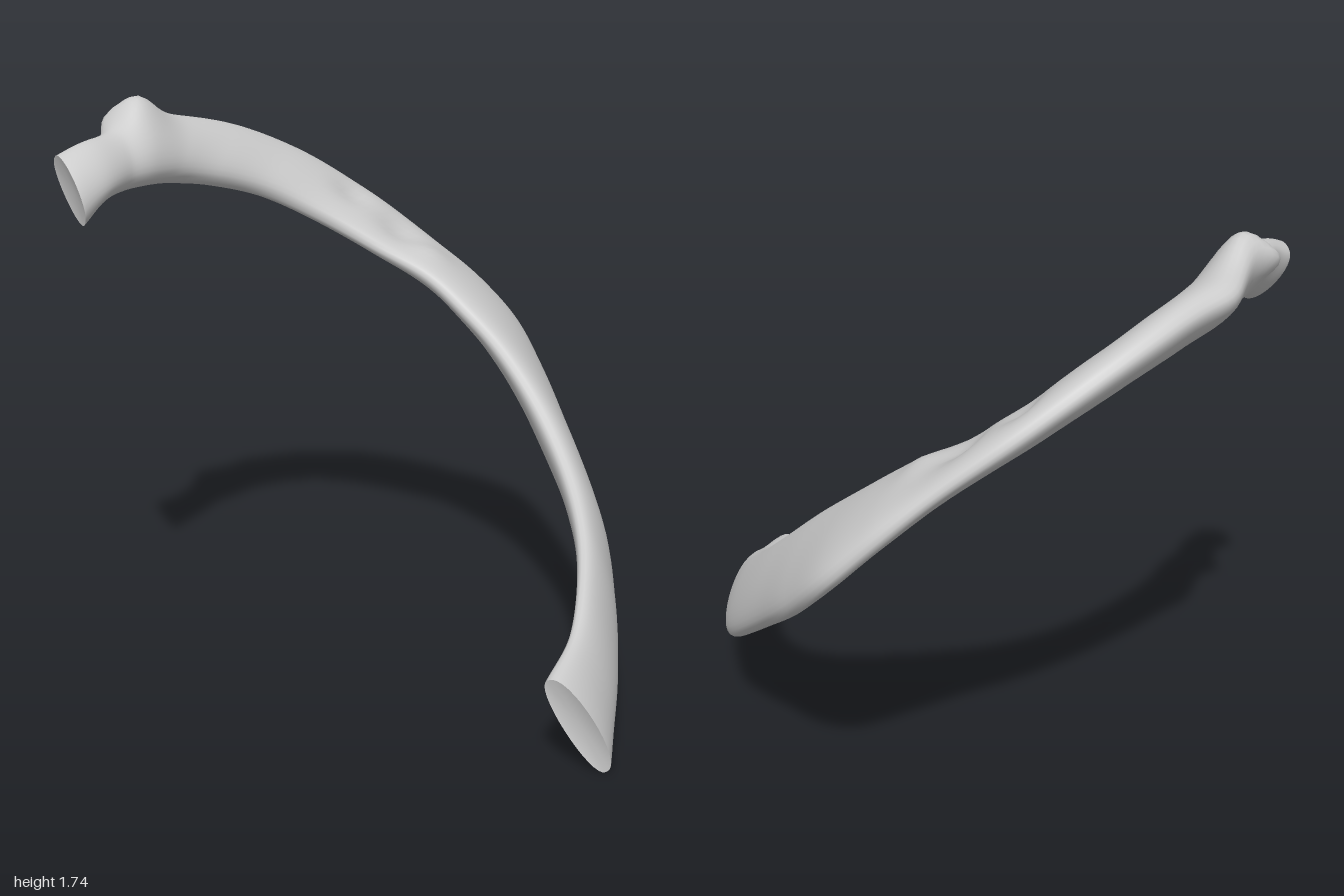
import * as THREE from 'three';
import { mergeGeometries } from 'three/addons/utils/BufferGeometryUtils.js';

// Cross-sections from the sternal end to the head:
// inner (upper) edge x y z, outer (lower) edge x y z, thickness
const sections = [
  [-0.34, 0.28, 0.85, -0.24, 0.01, 0.99, 0.1],
  [-0.15, 0.33, 0.77, -0.1, 0.05, 0.88, 0.085],
  [0, 0.4, 0.67, 0.05, 0.11, 0.76, 0.085],
  [0.18, 0.5, 0.51, 0.22, 0.2, 0.6, 0.09],
  [0.31, 0.62, 0.33, 0.4, 0.33, 0.4, 0.1],
  [0.39, 0.77, 0.13, 0.57, 0.54, 0.1, 0.11],
  [0.41, 0.92, -0.06, 0.7, 0.71, -0.13, 0.115],
  [0.395, 1.02, -0.2, 0.76, 0.87, -0.31, 0.115],
  [0.36, 1.12, -0.34, 0.72, 1.0, -0.43, 0.11],
  [0.27, 1.21, -0.5, 0.61, 1.16, -0.57, 0.1],
  [0.15, 1.31, -0.64, 0.45, 1.34, -0.75, 0.11],
  [0, 1.4, -0.74, 0.25, 1.49, -0.88, 0.12],
  [-0.18, 1.455, -0.785, 0.03, 1.59, -0.95, 0.13],
  [-0.32, 1.48, -0.79, -0.18, 1.64, -0.97, 0.14],
  [-0.45, 1.49, -0.77, -0.38, 1.68, -0.93, 0.14],
  [-0.55, 1.49, -0.75, -0.52, 1.64, -0.89, 0.12],
  [-0.67, 1.475, -0.7, -0.66, 1.63, -0.84, 0.11],
  [-0.76, 1.42, -0.68, -0.75, 1.6, -0.84, 0.13],
];

// Local swellings and dents: centre, push, radius
const bumps = [
  [[-0.39, 1.7, -0.9], [0, 0.055, 0], 0.08],     // tubercle crest
  [[-0.46, 1.65, -0.94], [-0.01, 0.01, -0.06], 0.06], // tubercle facet
  [[-0.2, 1.62, -0.97], [0, 0, -0.02], 0.08],
  [[0.42, 1.26, -0.52], [0, -0.02, -0.015], 0.07],  // dents by the angle
  [[0.33, 1.37, -0.66], [0, -0.018, -0.012], 0.06],
  [[0.46, 1.18, -0.42], [0, 0.012, 0.01], 0.06],
].map(([c, p, r]) => ({ c: new THREE.Vector3(...c), p: new THREE.Vector3(...p), r }));

const RINGS = 136, SIDES = 32;

const edge = (offset) => new THREE.CatmullRomCurve3(
  sections.map((s) => new THREE.Vector3(s[offset], s[offset + 1], s[offset + 2])), false, 'centripetal');

// Flattened oval ring between both edges, fuller on the outer face
function ring(inner, outer, t) {
  const mid = (k) => inner.getPoint(k).add(outer.getPoint(k)).multiplyScalar(0.5);
  const centre = mid(t);
  const tangent = mid(Math.min(1, t + 0.02)).sub(mid(Math.max(0, t - 0.02))).normalize();
  const u = outer.getPoint(t).sub(inner.getPoint(t)).multiplyScalar(0.5);
  const v = new THREE.Vector3().crossVectors(tangent, u).normalize();
  const f = t * (sections.length - 1), i = Math.min(Math.floor(f), sections.length - 2);
  const thick = THREE.MathUtils.lerp(sections[i][6], sections[i + 1][6], THREE.MathUtils.smoothstep(f - i, 0, 1));
  const points = [];
  for (let j = 0; j < SIDES; j++) {
    const a = (j / SIDES) * Math.PI * 2, s = Math.sin(a);
    const h = Math.sign(s) * Math.abs(s) ** 0.85 * thick * (s > 0 ? 0.42 : 0.56);
    const p = centre.clone().addScaledVector(u, Math.cos(a)).addScaledVector(v, h);
    const base = p.clone();
    for (const b of bumps) p.addScaledVector(b.p, Math.exp(-base.distanceToSquared(b.c) / (b.r * b.r)));
    points.push(p);
  }
  return points;
}

function surface(points, index) {
  const g = new THREE.BufferGeometry().setFromPoints(points);
  g.setIndex(index);
  g.computeVertexNormals();
  return g;
}

// End face, slightly hollowed along the given depth vector
function cap(points, reversed, depth) {
  const centre = points.reduce((sum, p) => sum.add(p), new THREE.Vector3()).divideScalar(SIDES).add(depth);
  const index = [];
  for (let j = 0; j < SIDES; j++) {
    const k = (j + 1) % SIDES;
    index.push(SIDES, reversed ? k : j, reversed ? j : k);
  }
  return surface([...points, centre], index);
}

export function createModel() {
  const group = new THREE.Group();
  group.name = 'rib';
  const inner = edge(0), outer = edge(3);
  const rings = [];
  for (let i = 0; i <= RINGS; i++) rings.push(ring(inner, outer, i / RINGS));

  const index = [];
  for (let i = 0; i < RINGS; i++) {
    for (let j = 0; j < SIDES; j++) {
      const k = (j + 1) % SIDES;
      const a = i * SIDES + j, b = i * SIDES + k, c = a + SIDES, d = b + SIDES;
      index.push(a, b, c, b, d, c);
    }
  }
  const material = new THREE.MeshStandardMaterial({ color: 0xcccccc });
  const shaft = new THREE.Mesh(surface(rings.flat(), index), material);
  shaft.name = 'ribShaft';
  const ends = new THREE.Mesh(mergeGeometries([
    cap(rings[0], true, new THREE.Vector3(0.015, 0, -0.01)),
    cap(rings[RINGS], false, new THREE.Vector3(0.012, 0, 0)),
  ]), material);
  ends.name = 'ribEndFaces';
  group.add(shaft, ends);
  return group;
}
